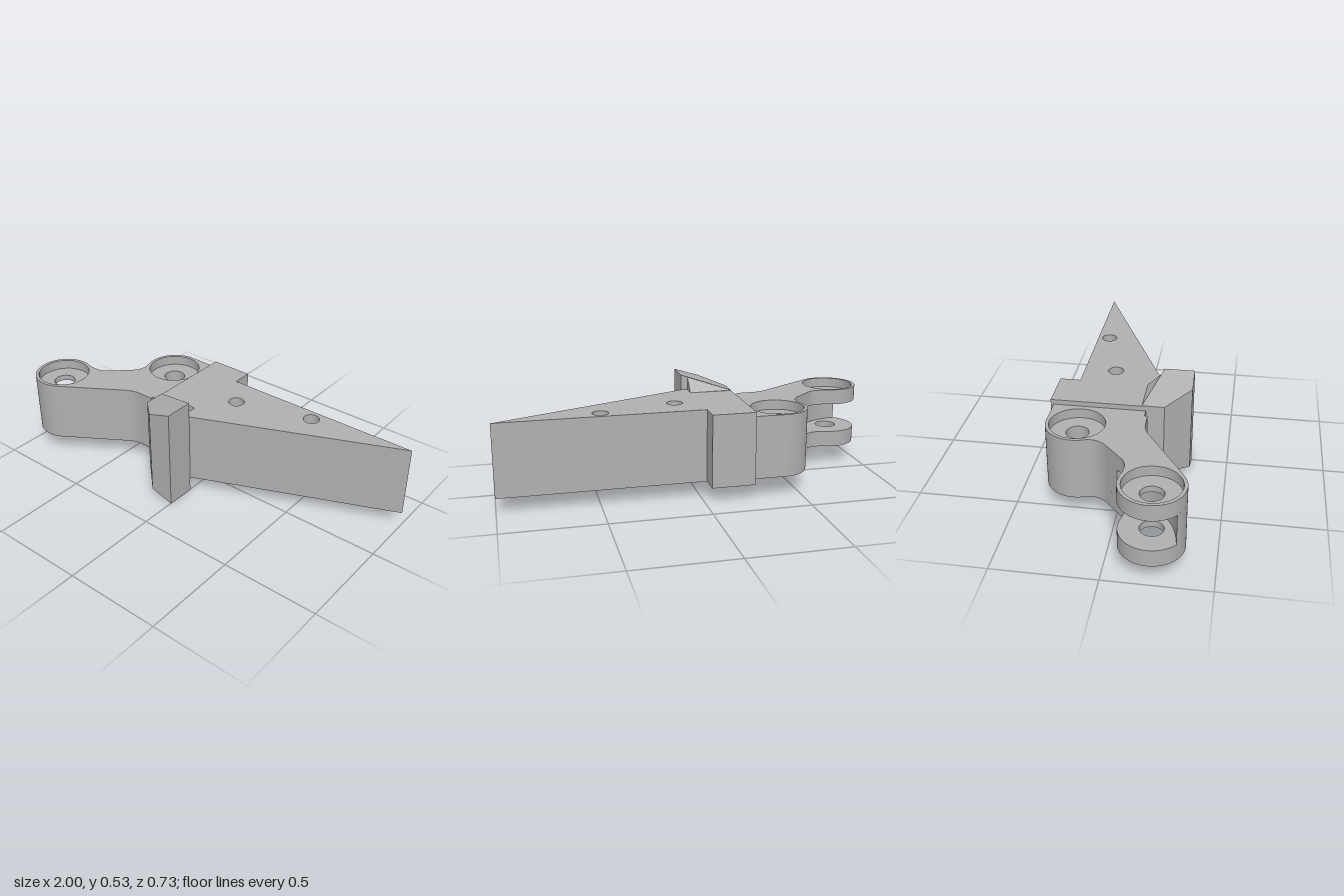
import * as THREE from 'three';
import { toCreasedNormals } from 'three/addons/utils/BufferGeometryUtils.js';
import { ConvexGeometry } from 'three/addons/geometries/ConvexGeometry.js';

const MID = 0.265; // height of the horizontal symmetry plane
const R = 0.152; // outer radius of both bosses
const A = [-0.41, 0.205]; // boss centres in plan, as (x, -z)
const B = [-0.848, -0.209];
const rad = THREE.MathUtils.degToRad;

// Upright prism from a plan drawn as (x, -z)
function prism(shape, y0, y1) {
  const g = new THREE.ExtrudeGeometry(shape, { depth: y1 - y0, bevelEnabled: false, curveSegments: 28 });
  g.rotateX(-Math.PI / 2);
  g.translate(0, y0, 0);
  return g;
}

function polygon(points) {
  return new THREE.Shape(points.map(([x, z]) => new THREE.Vector2(x, -z)));
}

function addHole(shape, [x, s], r) {
  shape.holes.push(new THREE.Path().absarc(x, s, r, 0, Math.PI * 2, true));
}

// Plan of the arm; the slotted version leaves only a curved front wall at the outer boss
function armPlan(slotted) {
  const s = new THREE.Shape();
  s.moveTo(-0.2, 0.355);
  s.lineTo(A[0], 0.205 + R);
  s.absarc(A[0], A[1], R, rad(90), rad(200), false);
  s.quadraticCurveTo(-0.525, 0.087, -0.59, 0.03);
  if (slotted) {
    s.lineTo(-0.65, -0.025);
    s.quadraticCurveTo(-0.68, -0.3, -0.944, -0.327);
    s.absarc(B[0], B[1], R, rad(231), rad(302), false);
  } else {
    s.lineTo(-0.676, -0.048);
    s.quadraticCurveTo(-0.72, -0.087, -0.809, -0.062);
    s.absarc(B[0], B[1], R, rad(75), rad(302), false);
  }
  s.lineTo(-0.46, -0.143);
  s.quadraticCurveTo(-0.42, -0.115, -0.37, -0.115);
  s.lineTo(-0.295, -0.115);
  s.lineTo(-0.295, -0.1);
  s.lineTo(-0.2, -0.1);
  s.closePath();
  return s;
}

export function createModel() {
  const group = new THREE.Group();
  const grey = new THREE.MeshStandardMaterial({ color: 0xb0b0b0 });
  grey.name = 'plain grey';
  const add = (name, geometry, parent = group) => {
    const mesh = new THREE.Mesh(toCreasedNormals(geometry, 0.5), grey);
    mesh.name = name;
    parent.add(mesh);
  };

  // Wedge with two through holes
  const wedge = polygon([[-0.25, 0.1], [0, 0.16], [1, -0.267], [-0.03, -0.267], [-0.03, -0.37], [-0.25, -0.37]]);
  addHole(wedge, [0.097, 0.103], 0.04);
  addHole(wedge, [0.483, 0.205], 0.04);
  add('wedge', prism(wedge, 0.08, 0.45));

  // Arm in layers: counterbores outside, lugs, slot in the middle
  const arm = new THREE.Group();
  arm.name = 'hingeArm';
  group.add(arm);
  const layers = [
    ['lowerCounterbore', 0.105, 0.155, 0.135],
    ['lowerLug', 0.155, 0.19, 0.055],
    ['slotLayer', 0.19, 0.345, 0.055, true],
    ['upperLug', 0.345, 0.375, 0.055],
    ['upperCounterbore', 0.375, 0.425, 0.135],
  ];
  for (const [name, y0, y1, r, slotted] of layers) {
    const plan = armPlan(slotted);
    addHole(plan, A, r);
    if (!slotted) addHole(plan, B, r);
    add(name, prism(plan, y0, y1), arm);
  }

  // Front fin, growing taller towards +x
  const fin = prism(polygon([[-0.25, 0.08], [-0.25, 0.19], [-0.123, 0.313], [0.003, 0.313], [0.003, 0.16], [-0.03, 0.15]]), -1, 1);
  const p = fin.attributes.position;
  for (let i = 0; i < p.count; i++) p.setY(i, MID + p.getY(i) * (0.264 + 0.305 * p.getX(i)));
  add('fin', fin);

  // Sloped gusset behind the fin, above and below
  const gusset = [];
  for (const k of [1, -1]) {
    for (const [x, h, z] of [[-0.25, 0.187, 0.08], [-0.03, 0.185, 0.08], [-0.03, 0.254, 0.151]]) {
      gusset.push(new THREE.Vector3(x, MID + k * h, z));
    }
  }
  add('gusset', new ConvexGeometry(gusset));

  return group;
}
